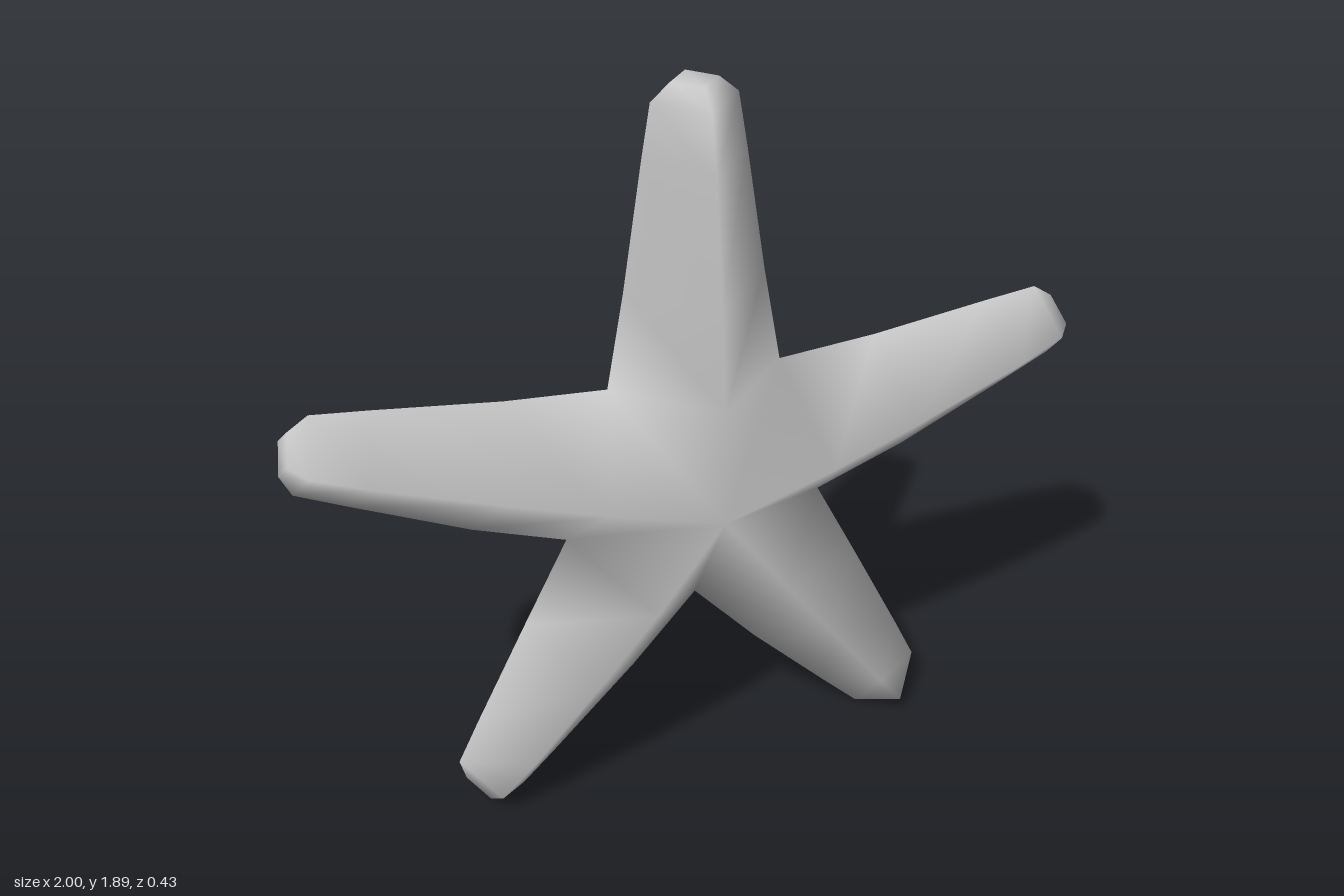
import * as THREE from 'three';

const CENTRE_Y = 0.855;
const CENTRE_DEPTH = 0.213;

// Arm tips, clockwise from the top, and the notch after each arm
const TIPS = [[0, 1.89], [0.983, 1.14], [0.59, 0.034], [-0.59, 0.034], [-0.983, 1.14]];
const NOTCHES = [[0.22, 1.155], [0.337, 0.752], [0, 0.51], [-0.337, 0.752], [-0.22, 1.155]];

// Arm stations: [fraction of length, half width, half depth]
const STATIONS = [
  [0.29, 0.22, 0.204],
  [0.53, 0.175, 0.18],
  [0.83, 0.127, 0.138],
  [0.961, 0.104, 0.108],
  [1, 0.057, 0.062],
];

function starGeometry() {
  const pos = [], index = [];
  const point = (x, y, z) => pos.push(x, y, z) / 3 - 1;
  const front = point(0, CENTRE_Y, CENTRE_DEPTH);
  const back = point(0, CENTRE_Y, -CENTRE_DEPTH);
  const notches = NOTCHES.map(([x, y]) => point(x, y, 0));

  TIPS.forEach(([tx, ty], i) => {
    const dx = tx, dy = ty - CENTRE_Y, len = Math.hypot(dx, dy);
    const sx = dy / len, sy = -dx / len;
    const right = notches[i], left = notches[(i + 4) % 5];

    // Diamond rings: front ridge, right edge, back ridge, left edge
    const rings = STATIONS.map(([t, w, d], k) => {
      const x = dx * t, y = CENTRE_Y + dy * t;
      return [
        point(x, y, d),
        k ? point(x + sx * w, y + sy * w, 0) : right,
        point(x, y, -d),
        k ? point(x - sx * w, y - sy * w, 0) : left,
      ];
    });

    // Join the arm to the centre of the body
    const [f, , b] = rings[0];
    index.push(front, right, f, front, f, left, back, b, right, back, left, b);

    // Skin between the rings
    for (let k = 0; k < rings.length - 1; k++) {
      for (let j = 0; j < 4; j++) {
        const n = (j + 1) % 4, p = rings[k], q = rings[k + 1];
        if (j % 2) index.push(p[j], p[n], q[j], p[n], q[n], q[j]);
        else index.push(p[j], p[n], q[n], p[j], q[n], q[j]);
      }
    }

    // Blunt tip
    const [a, r, c, l] = rings[rings.length - 1];
    index.push(a, r, c, a, c, l);
  });

  const geometry = new THREE.BufferGeometry();
  geometry.setAttribute('position', new THREE.Float32BufferAttribute(pos, 3));
  geometry.setIndex(index);
  geometry.computeVertexNormals();
  return geometry;
}

export function createModel() {
  const group = new THREE.Group();
  group.name = 'starfish';
  const body = new THREE.Mesh(starGeometry(), new THREE.MeshStandardMaterial({ color: 0xcccccc }));
  body.name = 'fiveArmedBody';
  group.add(body);
  return group;
}
